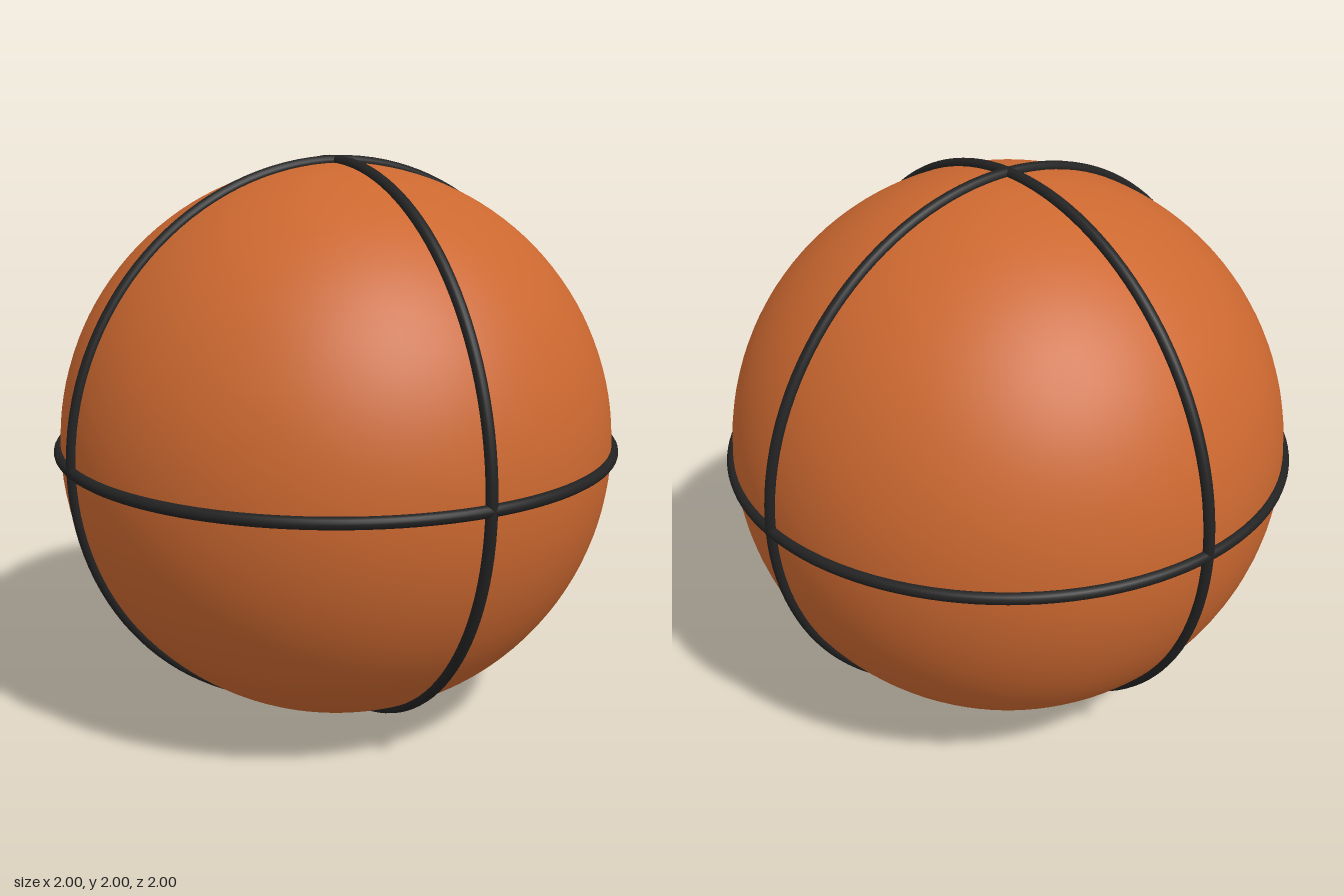
import * as THREE from 'three';

const BALL_RADIUS = 0.976;
const SEAM_RADIUS = 0.98;
const SEAM_TUBE = 0.02;

export function createModel() {
  const orange = new THREE.MeshStandardMaterial({ color: 0xcc6830 });
  orange.name = 'orange rubber';
  const black = new THREE.MeshStandardMaterial({ color: 0x222222 });
  black.name = 'black seam';

  const model = new THREE.Group();
  model.name = 'ball';

  // Smooth round body
  const body = new THREE.Mesh(new THREE.SphereGeometry(BALL_RADIUS, 96, 64), orange);
  body.name = 'body';
  body.position.y = 1;
  model.add(body);

  // Three raised seams, one around each axis
  const seamGeometry = new THREE.TorusGeometry(SEAM_RADIUS, SEAM_TUBE, 16, 128);
  const seams = [
    ['sideSeam', 0, 0],
    ['equatorSeam', Math.PI / 2, 0],
    ['frontSeam', 0, Math.PI / 2],
  ];
  for (const [name, rx, ry] of seams) {
    const seam = new THREE.Mesh(seamGeometry, black);
    seam.name = name;
    seam.rotation.set(rx, ry, 0);
    seam.position.y = 1;
    model.add(seam);
  }

  return model;
}
